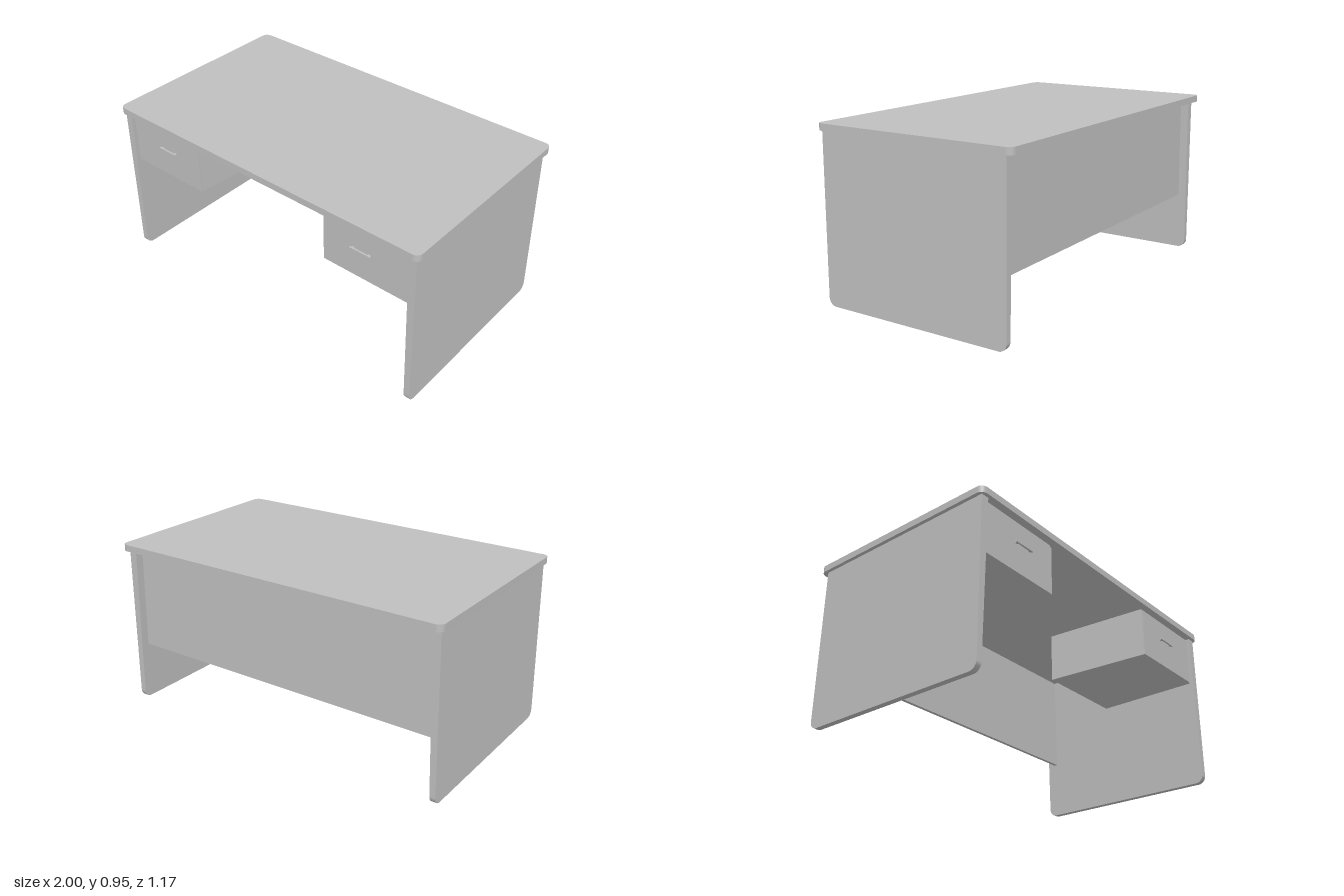
import * as THREE from 'three';

const TOP = 0.955, UNDER = 0.918;

// Rectangle with separate corner radii for its low and high sides
function roundedRect(x0, y0, x1, y1, rLow, rHigh) {
  const s = new THREE.Shape();
  s.moveTo(x0 + rLow, y0);
  s.lineTo(x1 - rLow, y0);
  s.absarc(x1 - rLow, y0 + rLow, rLow, -Math.PI / 2, 0);
  s.lineTo(x1, y1 - rHigh);
  if (rHigh > 0) s.absarc(x1 - rHigh, y1 - rHigh, rHigh, 0, Math.PI / 2);
  s.lineTo(x0 + rHigh, y1);
  if (rHigh > 0) s.absarc(x0 + rHigh, y1 - rHigh, rHigh, Math.PI / 2, Math.PI);
  s.lineTo(x0, y0 + rLow);
  s.absarc(x0 + rLow, y0 + rLow, rLow, Math.PI, Math.PI * 1.5);
  return s;
}

// Extrudes a plan outline (x, z) downwards from the given height
function slab(shape, top, height) {
  const g = new THREE.ExtrudeGeometry(shape, { depth: height, bevelEnabled: false, curveSegments: 6 });
  return g.rotateX(Math.PI / 2).translate(0, top, 0);
}

// Side panel that splays outwards and thins towards the floor
function sidePanelGeometry(side) {
  const shape = roundedRect(-0.565, 0, 0.547, UNDER, 0.045, 0);
  const g = new THREE.ExtrudeGeometry(shape, { depth: 1, bevelEnabled: false, curveSegments: 6 });
  g.rotateY(Math.PI / 2);
  const p = g.attributes.position;
  for (let i = 0; i < p.count; i++) {
    const k = p.getY(i) / UNDER;
    const middle = THREE.MathUtils.lerp(0.976, 0.958, k);
    const thick = THREE.MathUtils.lerp(0.032, 0.045, k);
    p.setX(i, side * middle + (p.getX(i) - 0.5) * thick);
  }
  g.computeVertexNormals();
  return g;
}

export function createModel() {
  const desk = new THREE.Group();
  desk.name = 'desk';
  const grey = new THREE.MeshStandardMaterial({ color: 0xbfbfbf });
  grey.name = 'grey';

  const add = (name, geometry, parent = desk) => {
    const mesh = new THREE.Mesh(geometry, grey);
    mesh.name = name;
    parent.add(mesh);
    return mesh;
  };
  const box = (name, x0, x1, y0, y1, z0, z1, parent) =>
    add(name, new THREE.BoxGeometry(Math.abs(x1 - x0), y1 - y0, z1 - z0), parent)
      .position.set((x0 + x1) / 2, (y0 + y1) / 2, (z0 + z1) / 2);

  // Worktop and back panel
  add('worktop', slab(roundedRect(-1, -0.585, 1, 0.585, 0.035, 0.035), TOP, TOP - UNDER));
  box('backPanel', -0.95, 0.95, 0.335, UNDER, -0.5, -0.48);

  for (const side of [-1, 1]) {
    const label = side > 0 ? 'left' : 'right';
    add(label + 'SidePanel', sidePanelGeometry(side));

    // Drawer unit, wider at the back
    const unit = new THREE.Group();
    unit.name = label + 'DrawerUnit';
    desk.add(unit);
    const plan = new THREE.Shape([[0.43, 0.542], [0.945, 0.542], [0.945, -0.07], [0.372, -0.07]]
      .map(([x, z]) => new THREE.Vector2(side * x, z)));
    add('drawerBody', slab(plan, UNDER, UNDER - 0.625), unit);
    box('drawerFront', side * 0.43, side * 0.93, 0.625, 0.9, 0.54, 0.55, unit);

    // Slim bar handle on two short posts
    box('handle', side * 0.6, side * 0.725, 0.782, 0.794, 0.558, 0.568, unit);
    for (const x of [0.615, 0.71])
      box('handlePost', side * (x - 0.006), side * (x + 0.006), 0.783, 0.793, 0.549, 0.559, unit);
  }
  return desk;
}
